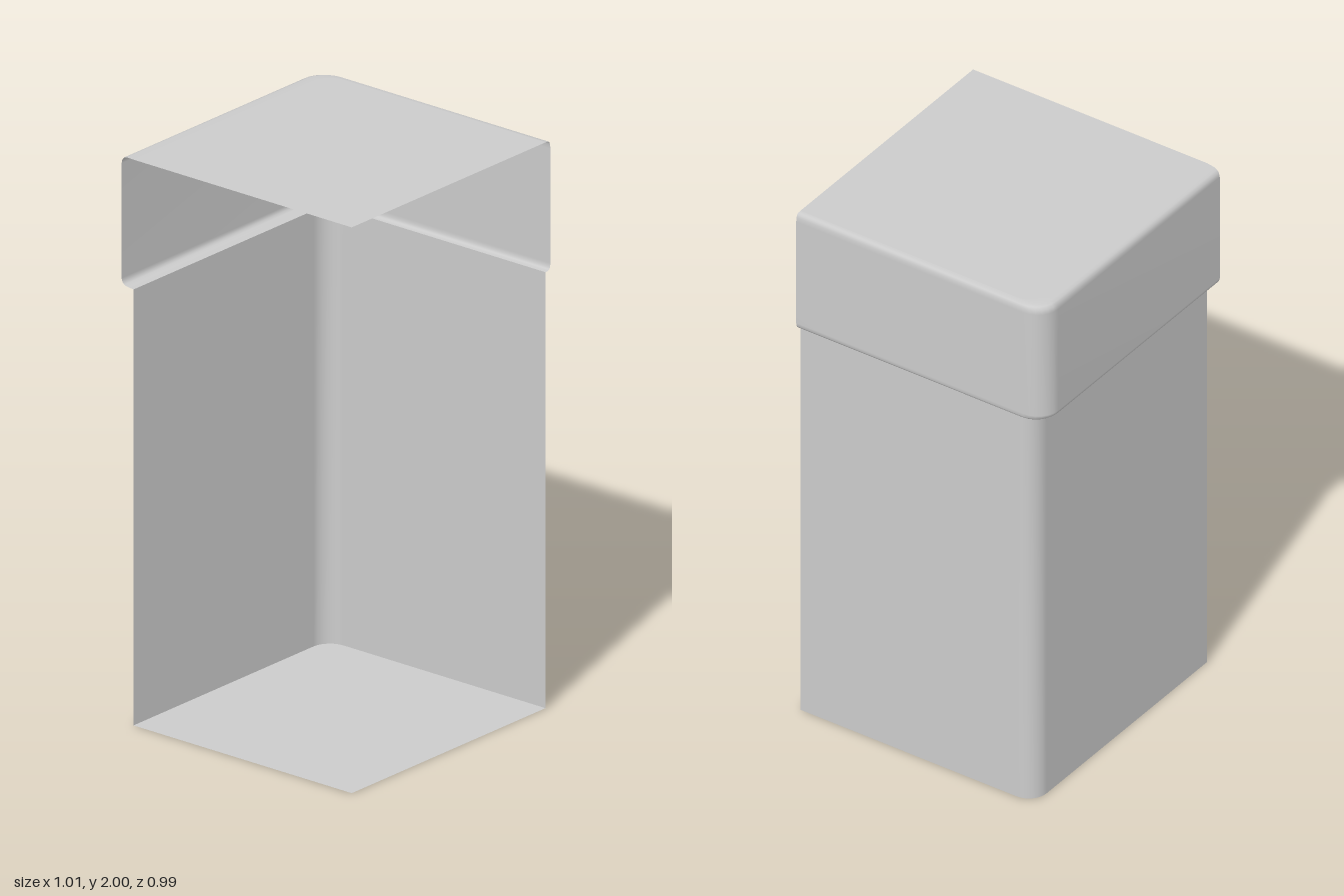
import * as THREE from 'three';

const material = new THREE.MeshStandardMaterial({ color: 0xcccccc, side: THREE.DoubleSide });
const LEFT = -0.508, FRONT = 0.497, ARC = 6;

// Open L-shaped outline in plan: t = 0 is the body wall, t = 1 the outside of the cap
function outline(t) {
  const right = 0.481 + 0.025 * t, back = -0.44 - 0.057 * t, r = 0.07 + 0.012 * t;
  const points = [[LEFT + 0.007 * t, back]];
  for (let i = 0; i <= ARC; i++) {
    const a = (i / ARC) * Math.PI / 2;
    points.push([right - r + r * Math.sin(a), back + r - r * Math.cos(a)]);
  }
  points.push([right, FRONT]);
  return points;
}

// Wall surface through a list of [t, y] rows, running from top to bottom
function wall(name, rows) {
  const positions = [], index = [];
  const n = outline(0).length;
  rows.forEach(([t, y], j) => {
    outline(t).forEach(([x, z], i) => {
      positions.push(x, y, z);
      if (j < rows.length - 1 && i < n - 1) {
        const a = j * n + i, b = a + n;
        index.push(a, a + 1, b, a + 1, b + 1, b);
      }
    });
  });
  const geometry = new THREE.BufferGeometry();
  geometry.setAttribute('position', new THREE.Float32BufferAttribute(positions, 3));
  geometry.setIndex(index);
  geometry.computeVertexNormals();
  const mesh = new THREE.Mesh(geometry, material);
  mesh.name = name;
  return mesh;
}

// Flat sheet filling the outline out to the open front corner
function sheet(name, y, facing) {
  const points = [...outline(0), [LEFT, FRONT]];
  const shape = new THREE.Shape(points.map(([x, z]) => new THREE.Vector2(x, -facing * z)));
  const geometry = new THREE.ShapeGeometry(shape);
  geometry.rotateX(-facing * Math.PI / 2);
  const mesh = new THREE.Mesh(geometry, material);
  mesh.name = name;
  mesh.position.y = y;
  return mesh;
}

export function createModel() {
  const group = new THREE.Group();
  group.name = 'cappedCornerShell';
  group.add(
    sheet('topPanel', 2, 1),
    // Overhanging cap band with rolled top and bottom edges
    wall('capBand', [
      [0, 2], [0.55, 1.999], [0.78, 1.995], [0.93, 1.986], [1, 1.97],
      [1, 1.565], [0.93, 1.552], [0.78, 1.545], [0.55, 1.542], [0, 1.541],
    ]),
    wall('bodyWall', [[0, 1.541], [0, 0]]),
    sheet('bottomPanel', 0, -1),
  );
  return group;
}
